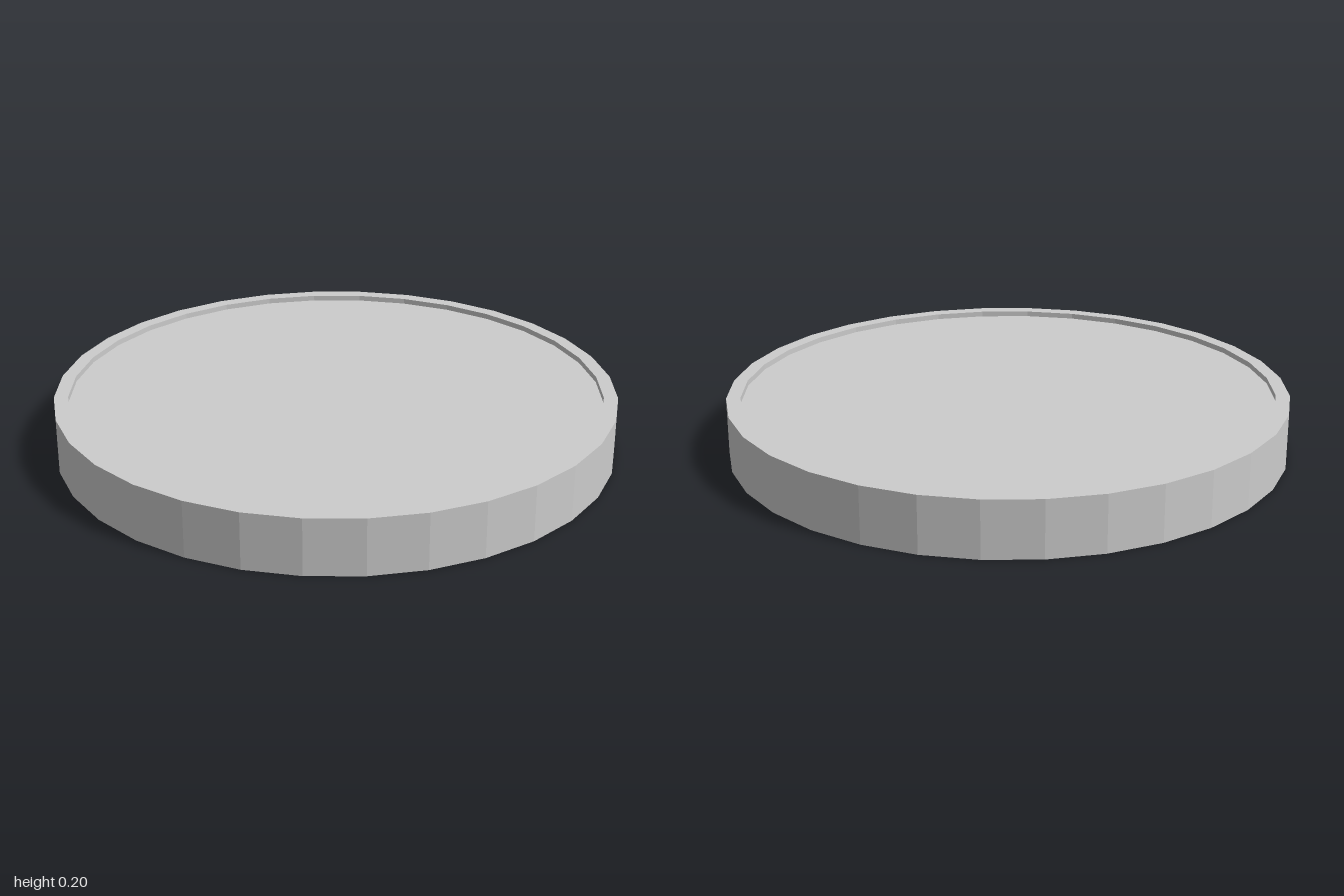
import * as THREE from 'three';

const SIDES = 32;
const OUTER = 1, INNER = 0.95, HEIGHT = 0.2, RECESS = 0.02;

export function createModel() {
  const group = new THREE.Group();
  group.name = 'disc';
  const material = new THREE.MeshStandardMaterial({ color: 0xcccccc, flatShading: true });

  // Raised rim: a rectangular section turned around the axis
  const section = [
    [INNER, 0], [OUTER, 0], [OUTER, HEIGHT], [INNER, HEIGHT], [INNER, 0],
  ].map(([x, y]) => new THREE.Vector2(x, y));
  const rim = new THREE.Mesh(new THREE.LatheGeometry(section, SIDES), material);
  rim.name = 'rim';
  group.add(rim);

  // Panel filling the rim, recessed slightly on both faces
  const panel = new THREE.Mesh(
    new THREE.CylinderGeometry(INNER, INNER, HEIGHT - 2 * RECESS, SIDES),
    material
  );
  panel.name = 'panel';
  panel.position.y = HEIGHT / 2;
  group.add(panel);

  return group;
}
